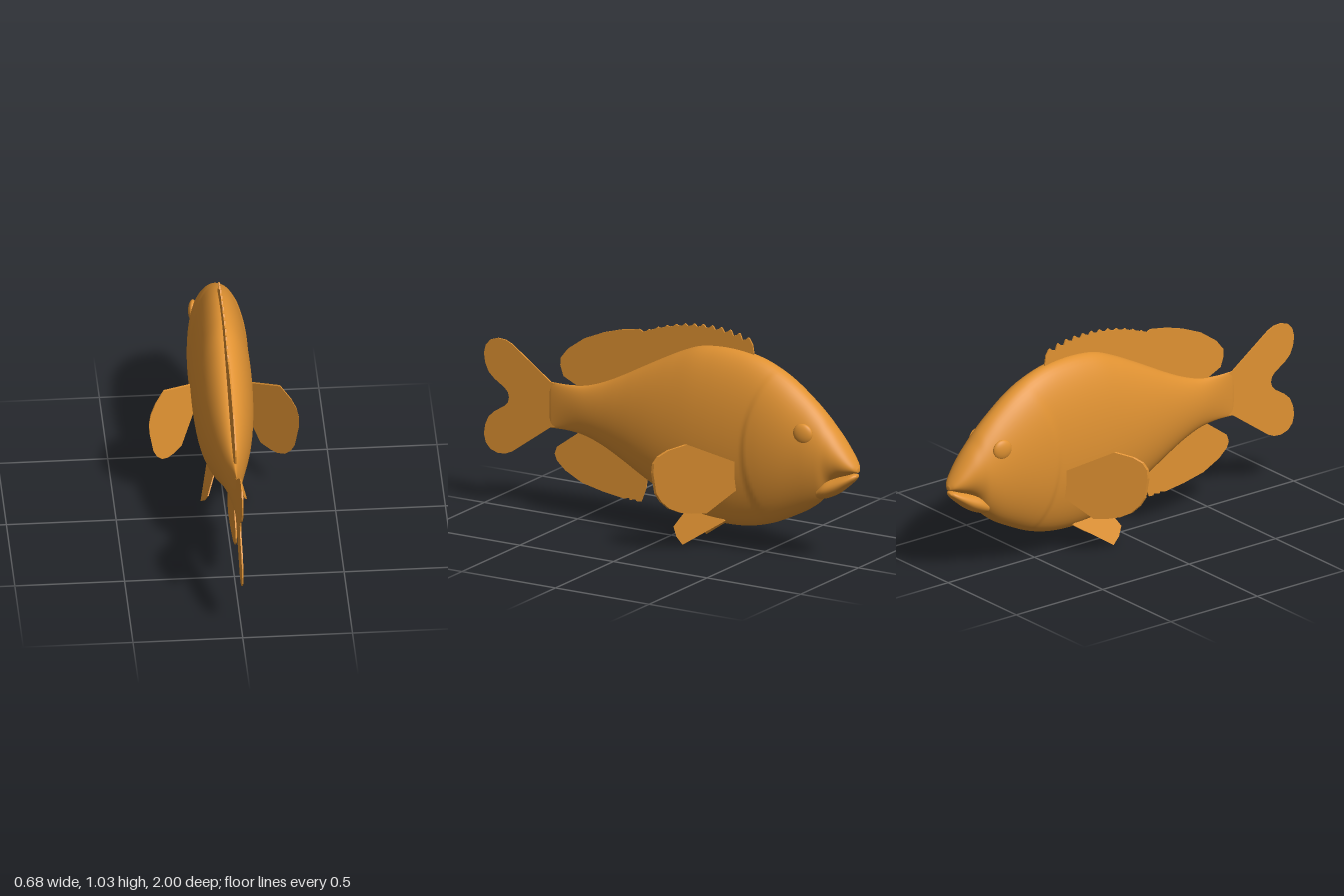
import * as THREE from 'three';

const orange = new THREE.MeshStandardMaterial({ color: 0xe09232, side: THREE.DoubleSide });
orange.name = 'orange';

// Closed elliptical loft along z. Stations: [z, top, bottom, halfWidth]
function loft(stations, rings, sides, widen = () => 0) {
  const rail = (k) => new THREE.CatmullRomCurve3(
    stations.map((s) => new THREE.Vector3(s[3], s[k], s[0])), false, 'catmullrom', 0.5);
  const upper = rail(1), lower = rail(2);
  const pos = [], idx = [];
  for (let i = 0; i <= rings; i++) {
    const a = upper.getPoint(i / rings), b = lower.getPoint(i / rings);
    const cy = (a.y + b.y) / 2, h = (a.y - b.y) / 2;
    for (let j = 0; j < sides; j++) {
      const t = (j / sides) * Math.PI * 2, y = cy + h * Math.sin(t);
      pos.push((a.x + widen(a.z, y)) * Math.cos(t), y, a.z);
    }
  }
  for (let i = 0; i < rings; i++) {
    for (let j = 0; j < sides; j++) {
      const k = (j + 1) % sides, r = i * sides, s = r + sides;
      idx.push(r + j, r + k, s + j, r + k, s + k, s + j);
    }
  }
  // end caps
  const first = stations[0], last = stations[stations.length - 1], n = pos.length / 3;
  pos.push(0, (first[1] + first[2]) / 2, first[0], 0, (last[1] + last[2]) / 2, last[0]);
  for (let j = 0; j < sides; j++) {
    const k = (j + 1) % sides, e = rings * sides;
    idx.push(n, k, j, n + 1, e + j, e + k);
  }
  const g = new THREE.BufferGeometry();
  g.setAttribute('position', new THREE.Float32BufferAttribute(pos, 3));
  g.setIndex(idx);
  g.computeVertexNormals();
  return g;
}

// Thin plate from an outline, centred on its own plane
function plate(points, depth) {
  const shape = new THREE.Shape(points.map((p) => new THREE.Vector2(p[0], p[1])));
  return new THREE.ExtrudeGeometry(shape, { depth, bevelEnabled: false, curveSegments: 1 })
    .translate(0, 0, -depth / 2);
}

// Plate whose outline is given as [z, y]
const sidePlate = (points, depth) => plate(points, depth).rotateY(-Math.PI / 2);

// Move each vertex by a rule
function warp(g, rule) {
  const p = g.attributes.position;
  for (let i = 0; i < p.count; i++) {
    const [x, y, z] = rule(p.getX(i), p.getY(i), p.getZ(i));
    p.setXYZ(i, x, y, z);
  }
  g.computeVertexNormals();
  return g;
}

export function createModel() {
  const fish = new THREE.Group();
  fish.name = 'fish';
  const add = (name, geometry) => {
    const mesh = new THREE.Mesh(geometry, orange);
    mesh.name = name;
    fish.add(mesh);
    return mesh;
  };

  // Body, with a small step along the curved gill edge
  const gill = (z, y) => {
    const edge = -0.46 - 0.8 * (y - 0.5) ** 2;
    return 0.007 * (1 - THREE.MathUtils.smoothstep(z, edge - 0.015, edge + 0.015))
      * THREE.MathUtils.smoothstep(z, -0.75, -0.52);
  };
  add('body', loft([
    [-1.0, 0.475, 0.455, 0.012], [-0.985, 0.5, 0.452, 0.035], [-0.95, 0.55, 0.437, 0.058],
    [-0.9, 0.615, 0.415, 0.078], [-0.86, 0.66, 0.38, 0.09], [-0.82, 0.705, 0.31, 0.101],
    [-0.75, 0.768, 0.25, 0.113], [-0.65, 0.842, 0.195, 0.124], [-0.55, 0.895, 0.15, 0.13],
    [-0.45, 0.927, 0.122, 0.133], [-0.35, 0.94, 0.11, 0.136], [-0.25, 0.94, 0.112, 0.137],
    [-0.15, 0.925, 0.13, 0.135], [-0.05, 0.885, 0.17, 0.129], [0.05, 0.835, 0.217, 0.119],
    [0.15, 0.782, 0.268, 0.104], [0.25, 0.728, 0.322, 0.085], [0.35, 0.68, 0.37, 0.064],
    [0.45, 0.645, 0.404, 0.043], [0.55, 0.632, 0.416, 0.022], [0.65, 0.632, 0.414, 0.004],
  ], 160, 64, gill));

  // Lower jaw
  add('lowerJaw', loft([
    [-0.995, 0.442, 0.43, 0.012], [-0.98, 0.447, 0.412, 0.033], [-0.95, 0.44, 0.384, 0.05],
    [-0.9, 0.426, 0.343, 0.065], [-0.85, 0.41, 0.316, 0.074], [-0.81, 0.38, 0.305, 0.068],
  ], 30, 40));

  // Dorsal fin: soft rear lobe, then a scalloped spiny crest
  const dorsal = [[0.45, 0.6], [0.5, 0.635], [0.575, 0.67], [0.592, 0.72], [0.59, 0.755],
    [0.55, 0.805], [0.465, 0.865], [0.36, 0.91], [0.27, 0.937], [0.17, 0.955]];
  const spines = 12;
  for (let i = 0; i < spines; i++) {
    const z = 0.12 - (i / (spines - 1)) * 0.53;
    const y = 1.032 - 0.6 * (z + 0.22) ** 2 - (z < -0.3 ? 0.5 * (z + 0.3) ** 2 : 0);
    dorsal.push([z + 0.03, y - 0.017], [z + 0.012, y - 0.011], [z, y], [z - 0.008, y - 0.003]);
  }
  dorsal.push([-0.435, 0.975], [-0.445, 0.92], [-0.4, 0.85], [-0.2, 0.85], [0.1, 0.72]);
  add('dorsalFin', sidePlate(dorsal, 0.007));

  // Anal fin
  add('analFin', sidePlate([[0.46, 0.44], [0.5, 0.41], [0.61, 0.33], [0.622, 0.295], [0.61, 0.265],
    [0.565, 0.225], [0.475, 0.18], [0.36, 0.155], [0.25, 0.14], [0.225, 0.148], [0.22, 0.138],
    [0.19, 0.146], [0.185, 0.138], [0.16, 0.14], [0.15, 0.165], [0.135, 0.205], [0.12, 0.3]], 0.007));

  // Forked tail, mirrored about its middle line
  const lobe = [[0.62, 0.625], [0.645, 0.632], [0.85, 0.778], [0.885, 0.793], [0.925, 0.796],
    [0.965, 0.783], [0.99, 0.755], [1.0, 0.715], [0.993, 0.67], [0.975, 0.63], [0.945, 0.602],
    [0.89, 0.567], [0.872, 0.548]];
  const lower = lobe.map(([z, y]) => [z, 1.048 - y]).reverse();
  add('tailFin', sidePlate([...lobe, [0.866, 0.524], ...lower], 0.007));

  for (const [side, s] of [['left', 1], ['right', -1]]) {
    // Pectoral fin, swept back from the flank
    const pectoral = [[0.115, 0.44], [0.135, 0.452], [0.265, 0.538], [0.31, 0.51], [0.333, 0.48],
      [0.342, 0.445], [0.34, 0.4], [0.322, 0.3], [0.305, 0.26], [0.28, 0.225], [0.25, 0.205],
      [0.22, 0.199], [0.18, 0.2], [0.12, 0.3], [0.105, 0.32]].map(([x, y]) => [s * x, y]);
    add(side + 'PectoralFin', warp(plate(pectoral, 0.012), (x, y, z) =>
      [x, y, z - 0.41 + (Math.abs(x) - 0.13) * 1.42 - 0.2 * (y - 0.42)]));

    // Pelvic fin, splayed outward below the belly
    const pelvic = [[-0.11, 0.155], [-0.06, 0.075], [-0.085, 0.035], [-0.125, 0.005],
      [-0.32, 0.135], [-0.3, 0.16]];
    add(side + 'PelvicFin', warp(sidePlate(pelvic, 0.006), (x, y, z) =>
      [x + s * (0.048 + (0.15 - y) * 0.38), y, z]));

    // Eye
    const eye = add(side + 'Eye', new THREE.SphereGeometry(0.048, 32, 20));
    eye.position.set(s * 0.094, 0.625, -0.76);
    eye.scale.x = 0.42;
    eye.rotation.y = s * 0.15;
  }
  return fish;
}
